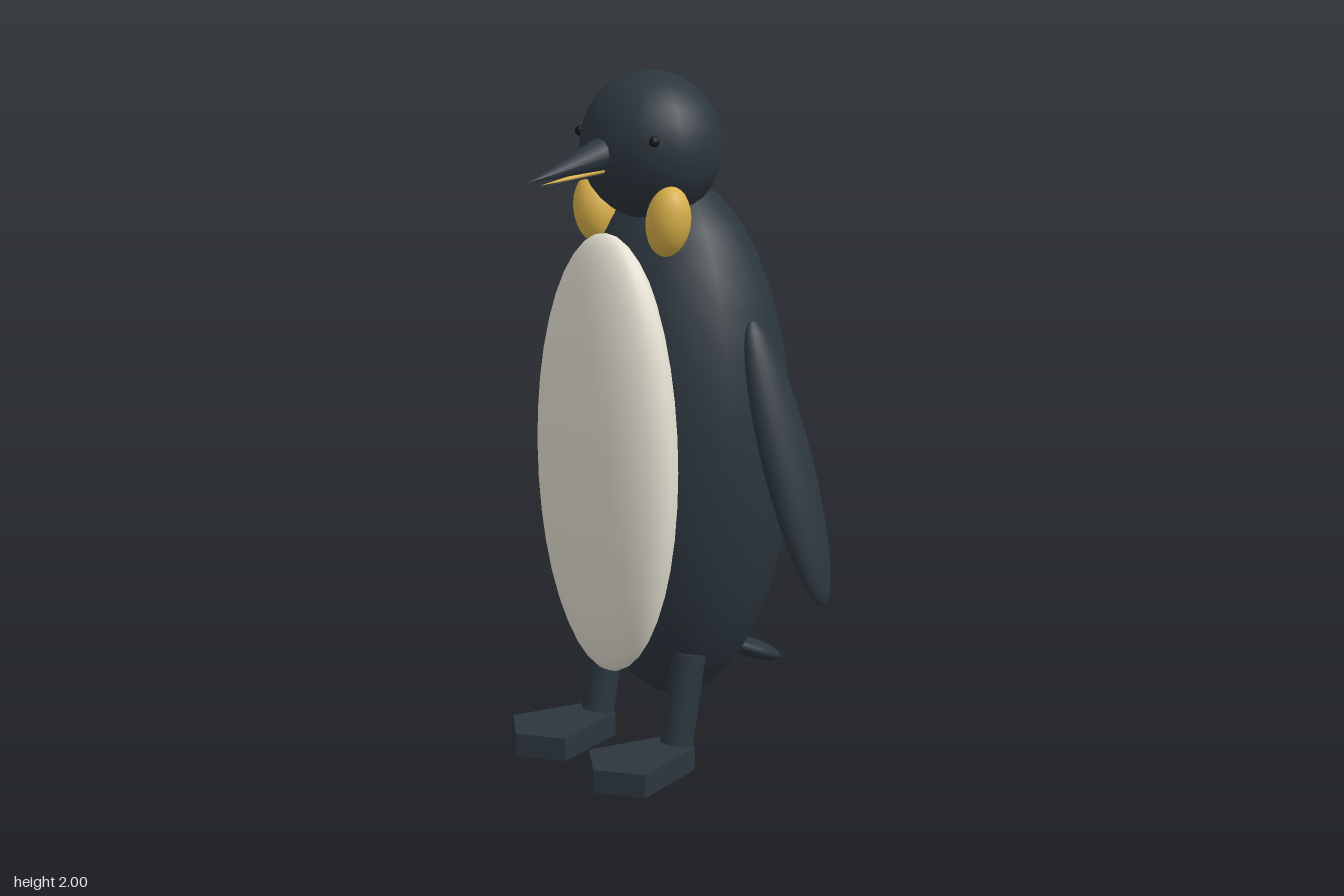
import * as THREE from 'three';

const material = (name, color) => {
  const m = new THREE.MeshStandardMaterial({ color });
  m.name = name;
  return m;
};

export function createModel() {
  const group = new THREE.Group();
  group.name = 'penguin';

  const dark = material('slate plumage', 0x2c363e);
  const cream = material('cream belly', 0xe4e0d2);
  const gold = material('golden yellow', 0xd9b04a);
  const black = material('eye black', 0x14181c);

  const add = (name, geometry, mat, position, rotation = [0, 0, 0]) => {
    const mesh = new THREE.Mesh(geometry, mat);
    mesh.name = name;
    mesh.position.set(...position);
    mesh.rotation.set(...rotation);
    group.add(mesh);
    return mesh;
  };

  const ellipsoid = (rx, ry, rz, w = 20, h = 16) =>
    new THREE.SphereGeometry(1, w, h).scale(rx, ry, rz);

  // Cone pointing from a base centre to a tip in the middle plane
  const spike = (name, mat, base, tip, radius, flatten = 1) => {
    const a = new THREE.Vector3(0, ...base);
    const b = new THREE.Vector3(0, ...tip);
    const geometry = new THREE.ConeGeometry(radius, a.distanceTo(b), 12);
    geometry.rotateX(Math.PI / 2).scale(1, flatten, 1);
    const tilt = Math.atan2(a.y - b.y, b.z - a.z);
    add(name, geometry, mat, a.add(b).multiplyScalar(0.5).toArray(), [tilt, 0, 0]);
  };

  // Torso and head
  add('body', ellipsoid(0.375, 0.775, 0.32), dark, [0, 0.925, -0.05]);
  add('belly', ellipsoid(0.28, 0.643, 0.125, 24, 20), cream, [0, 0.915, 0.2]);
  add('head', ellipsoid(0.213, 0.21, 0.195), dark, [0, 1.79, 0.035]);

  // Beak: upper half, golden stripe and thin lower half
  spike('upperBeak', dark, [1.785, 0.19], [1.725, 0.47], 0.052);
  spike('beakStripe', gold, [1.739, 0.19], [1.713, 0.43], 0.024, 0.5);
  spike('lowerBeak', dark, [1.731, 0.19], [1.708, 0.43], 0.02, 0.5);

  // Tail
  add('tail', ellipsoid(0.085, 0.03, 0.12, 16, 12), dark, [0, 0.21, -0.36], [-0.42, 0, 0]);

  // Foot outline, drawn with z as the second axis
  const outline = [[-0.06, 0.075], [0.06, 0.075], [0.125, 0.32], [0, 0.405], [-0.125, 0.32]];
  const footShape = new THREE.Shape(outline.map(([x, z]) => new THREE.Vector2(x, z)));
  const footGeometry = new THREE.ExtrudeGeometry(footShape, { depth: 0.07, bevelEnabled: false });
  footGeometry.rotateX(Math.PI / 2).translate(0, 0.07, 0);

  // Paired parts
  for (const [side, s] of [['left', 1], ['right', -1]]) {
    add(side + 'Wing', ellipsoid(0.048, 0.415, 0.084), dark,
      [s * 0.435, 0.93, -0.095], [0.11, 0, s * 0.26]);
    add(side + 'Cheek', ellipsoid(0.062, 0.1, 0.064, 16, 14), gold,
      [s * 0.159, 1.6, 0.108], [0, 0, -s * 0.17]);
    add(side + 'Eye', ellipsoid(0.015, 0.015, 0.015, 12, 8), black, [s * 0.16, 1.825, 0.16]);
    add(side + 'Leg', new THREE.CylinderGeometry(0.05, 0.05, 0.27, 14), dark,
      [s * 0.18, 0.204, 0.069], [-0.18, 0, 0]);
    add(side + 'Foot', footGeometry, dark, [s * 0.18, 0, 0]);
  }

  return group;
}
